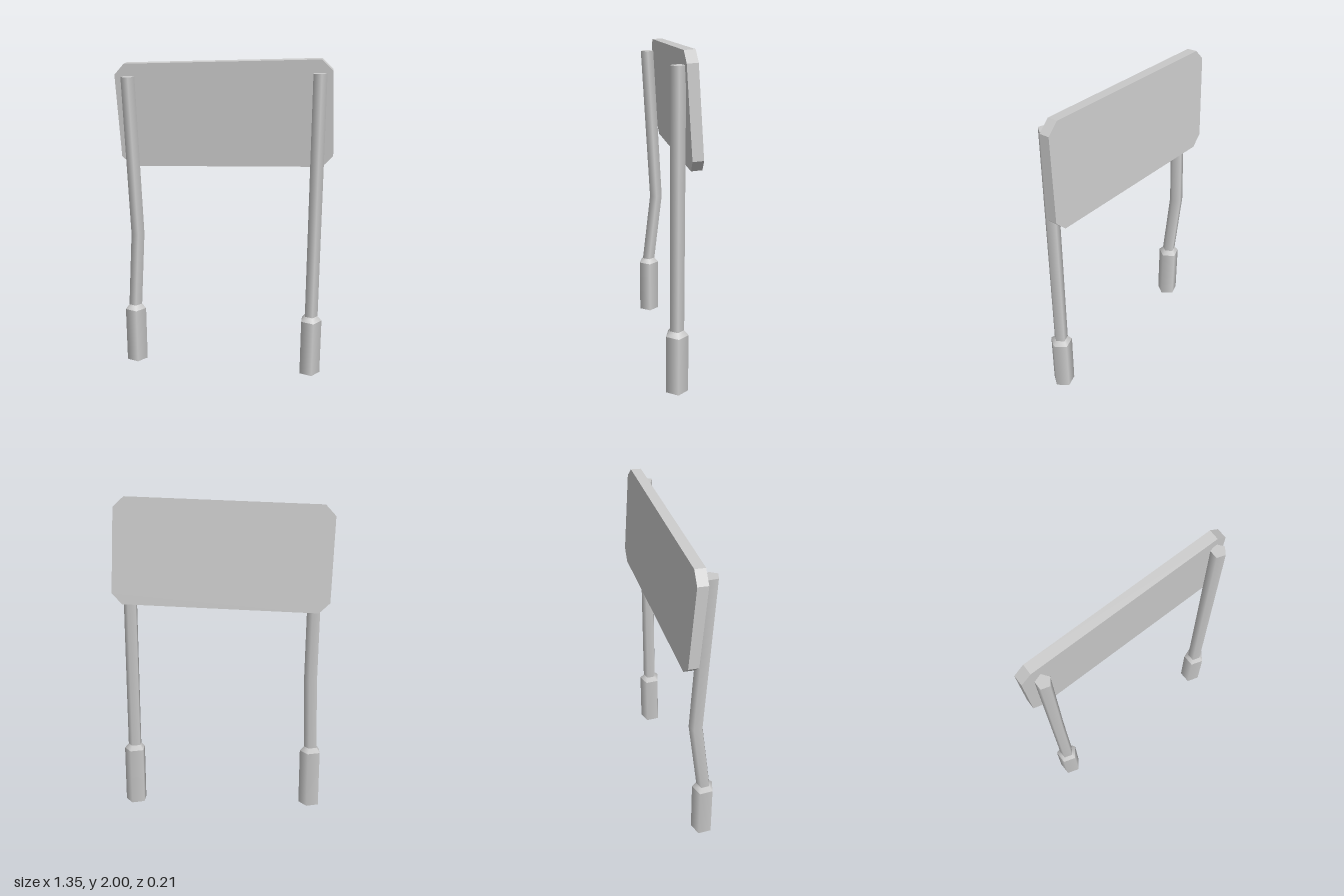
import * as THREE from 'three';

const SIDES = 5;
const POST_X = 0.58, POST_Z = 0.04;
const BASE_R = 0.07, POLE_R = 0.044;
const BASE_TOP = 0.365, POLE_BOTTOM = 0.395;

export function createModel() {
  const model = new THREE.Group();
  model.name = 'signboard';
  const material = new THREE.MeshStandardMaterial({ color: 0xcccccc });

  const add = (parent, name, geometry) => {
    const mesh = new THREE.Mesh(geometry, material);
    mesh.name = name;
    parent.add(mesh);
    return mesh;
  };

  // Upright five-sided prism between two heights, one corner toward +x
  const prism = (rTop, rBottom, y0, y1, rows = 1, open = false) =>
    new THREE.CylinderGeometry(rTop, rBottom, y1 - y0, SIDES, rows, open, Math.PI / 2)
      .translate(0, (y0 + y1) / 2, 0);

  // Post: thick footing, bevelled collar and slim pole, optionally dented midway
  const addPost = (name, x, top, dent) => {
    const post = new THREE.Group();
    post.name = name;
    post.position.set(x, 0, POST_Z);
    add(post, 'footing', prism(BASE_R, BASE_R, 0, BASE_TOP));
    add(post, 'collar', prism(POLE_R, BASE_R, BASE_TOP, POLE_BOTTOM));
    const pole = prism(POLE_R, POLE_R, POLE_BOTTOM, top, dent ? 2 : 1);
    if (dent) {
      const p = pole.attributes.position;
      const middle = (POLE_BOTTOM + top) / 2;
      for (let i = 0; i < p.count; i++) {
        if (Math.abs(p.getY(i) - middle) < 0.01) {
          p.setXYZ(i, p.getX(i) + dent.x, dent.y, p.getZ(i) + dent.z);
        }
      }
      pole.computeBoundingSphere();
    }
    add(post, 'pole', pole);
    model.add(post);
  };
  addPost('leftPost', POST_X, 1.92, null);
  addPost('rightPost', -POST_X + 0.003, 1.88, new THREE.Vector3(0.016, 0.87, -0.053));

  // Board: rectangle with clipped corners, slightly crooked
  const w = 0.665, h = 0.323, c = 0.065, depth = 0.063;
  const outline = new THREE.Shape([
    [-w + c, -h], [w - c, -h], [w, -h + c], [w, h - c],
    [w - c, h], [-w + c, h], [-w, h - c], [-w, -h + c],
  ].map(([x, y]) => new THREE.Vector2(x, y)));
  const board = add(model, 'board',
    new THREE.ExtrudeGeometry(outline, { depth, bevelEnabled: false }).translate(0, 0, -depth / 2));
  board.position.set(0, 1.655, -0.048);
  board.rotation.set(0.062, -0.01, 0.0375);

  return model;
}
